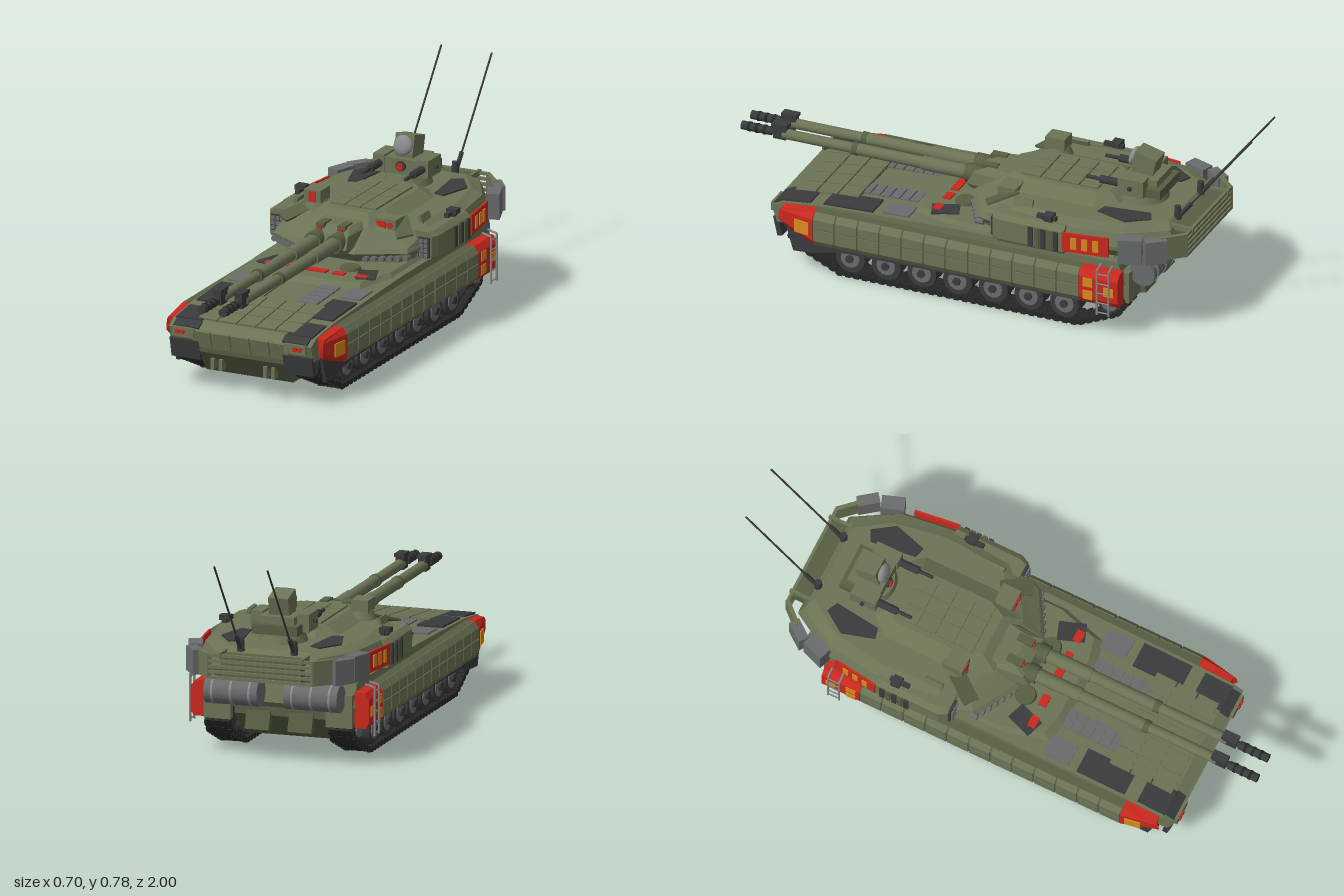
import * as THREE from 'three';
import { mergeGeometries } from 'three/addons/utils/BufferGeometryUtils.js';

export function createModel() {
  const root = new THREE.Group();
  root.name = 'tank';
  const paint = (name, color) => {
    const m = new THREE.MeshStandardMaterial({ color });
    m.name = name;
    return m;
  };
  const olive = paint('olive', 0x6b7355), shade = paint('darkOlive', 0x575e43), dark = paint('charcoal', 0x3a3b3c),
    black = paint('trackBlack', 0x272728), grey = paint('grey', 0x696b6d), light = paint('lightGrey', 0x8a8b8c),
    red = paint('red', 0xc9281e), orange = paint('orange', 0xd98a1c);

  // helpers
  const add = (name, geo, mat, x = 0, y = 0, z = 0, rx = 0, ry = 0, rz = 0) => {
    const m = new THREE.Mesh(geo, mat);
    m.name = name;
    m.position.set(x, y, z);
    m.rotation.set(rx, ry, rz);
    root.add(m);
    return m;
  };
  const box = (name, mat, w, h, d, ...p) => add(name, new THREE.BoxGeometry(w, h, d), mat, ...p);
  const cyl = (name, mat, r1, r2, h, axis, x, y, z, seg = 16) => {
    const g = new THREE.CylinderGeometry(r1, r2, h, seg);
    if (axis === 'z') g.rotateX(Math.PI / 2);
    if (axis === 'x') g.rotateZ(-Math.PI / 2);
    return add(name, g, mat, x, y, z);
  };
  const rod = (name, mat, r, a, b) => {
    const A = new THREE.Vector3(...a), B = new THREE.Vector3(...b), d = B.clone().sub(A);
    const m = add(name, new THREE.CylinderGeometry(r, r, d.length(), 6), mat);
    m.position.copy(A).add(B).multiplyScalar(0.5);
    m.quaternion.setFromUnitVectors(new THREE.Vector3(0, 1, 0), d.normalize());
  };
  const both = fn => [-1, 1].forEach(fn);
  // flat-faced solid through rings of equal point count, capped at both ends
  const loft = (name, mat, rings) => {
    const tris = [], n = rings[0].length;
    for (let i = 0; i + 1 < rings.length; i++) for (let j = 0; j < n; j++) {
      const k = (j + 1) % n, [a, b, c, d] = [rings[i][j], rings[i][k], rings[i + 1][k], rings[i + 1][j]];
      tris.push([a, b, c], [a, c, d]);
    }
    const cap = (ring, flip) => {
      const mid = [0, 1, 2].map(q => ring.reduce((s, p) => s + p[q], 0) / n);
      ring.forEach((p, j) => tris.push(flip ? [mid, ring[(j + 1) % n], p] : [mid, p, ring[(j + 1) % n]]));
    };
    cap(rings[0], true);
    cap(rings[rings.length - 1], false);
    const V = p => new THREE.Vector3(...p);
    const volume = tris.reduce((s, t) => s + V(t[0]).dot(V(t[1]).cross(V(t[2]))), 0);
    if (volume < 0) tris.forEach(t => t.reverse());
    const g = new THREE.BufferGeometry();
    g.setAttribute('position', new THREE.Float32BufferAttribute(tris.flat(2), 3));
    g.computeVertexNormals();
    return add(name, g, mat);
  };
  // symmetric plan outline from its +x half
  const plan = (y, half) => [...half.map(([x, z]) => [x, y, z]), ...[...half].reverse().map(([x, z]) => [-x, y, z])];
  // side profile of [z, y] points given thickness along x
  const side = (name, mat, pts, x0, x1) => {
    const g = new THREE.ExtrudeGeometry(new THREE.Shape(pts.map(p => new THREE.Vector2(...p))), { depth: Math.abs(x1 - x0), bevelEnabled: false });
    g.rotateY(-Math.PI / 2);
    return add(name, g, mat, Math.max(x0, x1));
  };

  // hull
  side('upperHull', olive, [[0.78, 0.228], [0.74, 0.25], [0.6, 0.266], [0.3, 0.279], [0.05, 0.287], [-0.56, 0.287], [-0.585, 0.2], [-0.56, 0.168], [0.76, 0.168]], -0.282, 0.282);
  side('lowerHull', shade, [[0.768, 0.18], [0.765, 0.145], [0.7, 0.06], [-0.48, 0.06], [-0.575, 0.15], [-0.575, 0.18]], -0.172, 0.172);
  loft('turretRingDeck', olive, [plan(0.28, [[0.13, 0.28], [0.21, 0.26], [0.262, 0.1], [0.262, -0.54]]), plan(0.3, [[0.12, 0.25], [0.2, 0.23], [0.245, 0.08], [0.245, -0.52]])]);
  cyl('turretRing', dark, 0.235, 0.235, 0.02, 'y', 0, 0.304, -0.25, 32);
  for (let i = -2; i <= 2; i++) {
    const x = i * 0.077;
    box('noseTile', olive, 0.072, 0.065, 0.012, x, 0.196, 0.772, 0.28);
    for (let j = 0; j < 3; j++) box('deckTile', olive, 0.072, 0.012, 0.078, x, 0.257 + j * 0.0085, 0.69 - j * 0.083, 0.11);
  }
  [0, 1, -1, 2, -2].forEach(i => box('deckLight', red, i ? 0.045 : 0.085, 0.009, 0.03, i * 0.09, 0.301, 0.18));
  both(s => {
    box('fenderPlate', dark, 0.1, 0.008, 0.11, s * 0.22, 0.258, 0.69, 0.11);
    box('nosePlate', dark, 0.1, 0.008, 0.036, s * 0.215, 0.241, 0.761, 0.5);
    box('deckPlate', dark, 0.095, 0.008, 0.19, s * 0.222, 0.274, 0.49, 0.05);
    box('deckGrille', grey, 0.08, 0.008, 0.1, s * 0.222, 0.28, 0.31, 0.045);
    for (let i = 0; i < 7; i++) box('engineGrille', grey, 0.075, 0.008, 0.033, s * 0.105, 0.281 - i * 0.0015, 0.29 + i * 0.038, 0.05);
    box('ringDeckPlate', dark, 0.07, 0.006, 0.1, s * 0.185, 0.301, 0.15, 0, s * 0.35);
    cyl('deckHatch', shade, 0.035, 0.04, 0.012, 'y', s * 0.1, 0.305, 0.11);
    box('mudFlap', dark, 0.115, 0.075, 0.02, s * 0.224, 0.15, 0.757, 0.22);
    box('headlightHousing', olive, 0.085, 0.034, 0.03, s * 0.222, 0.216, 0.775);
    [0.223, 0.243].forEach(x => cyl('headlight', red, 0.009, 0.009, 0.008, 'z', s * x, 0.217, 0.792, 10));
    [0.088, 0.12].forEach(x => box('towHook', olive, 0.014, 0.04, 0.03, s * x, 0.103, 0.745));
    // skirts
    const section = (z, t = 1) => [[0.28, 0.26], [0.318, 0.258], [0.335, 0.235], [0.335, 0.15], [0.322, 0.13], [0.28, 0.13]]
      .map(([x, y]) => [s * (0.28 + (x - 0.28) * t), y, z]);
    loft('skirtBacking', shade, [section(0.6, 0.92), section(-0.43, 0.92)]);
    for (let i = 0; i < 12; i++) {
      const z0 = 0.597 - i * 0.0858, z1 = z0 - 0.08;
      [[0.2, 0.258], [0.13, 0.195]].forEach(([a, b], row) => {
        const ring = z => (row ? [[0.285, a], [0.322, a], [0.335, a + 0.02], [0.335, b], [0.285, b]] : [[0.285, a], [0.335, a], [0.335, b - 0.023], [0.318, b], [0.285, b]]).map(([x, y]) => [s * x, y, z]);
        loft('skirtTile', olive, [ring(z0), ring(z1)]);
      });
    }
    const tip = [[0.28, 0.25], [0.308, 0.245], [0.31, 0.235], [0.31, 0.2], [0.3, 0.17], [0.28, 0.165]].map(([x, y]) => [s * x, y, 0.755 - Math.abs(y - 0.215) * 0.8]);
    loft('skirtNose', red, [section(0.6), tip]);
    box('noseEmblemPatch', orange, 0.005, 0.05, 0.06, s * 0.329, 0.193, 0.645, 0, -s * 0.16);
    loft('rearSkirt', red, [section(-0.43), section(-0.58)]);
    [[0.215, -0.465], [0.165, -0.465], [0.19, -0.545]].forEach(([y, z]) => box('rearSkirtPatch', orange, 0.006, 0.035, 0.038, s * 0.335, y, z));
    const rubber = [[0.72, 0.175], [0.69, 0.075], [0.63, 0.078], [0.5, 0.105], [-0.5, 0.115], [-0.55, 0.175]];
    side('rubberSkirt', dark, rubber, s * 0.284, s * 0.298);
    // ladder
    [-0.505, -0.55].forEach(z => rod('ladderRail', light, 0.004, [s * 0.346, 0.1, z], [s * 0.346, 0.275, z]));
    for (let i = 0; i < 5; i++) rod('ladderRung', light, 0.003, [s * 0.346, 0.11 + i * 0.038, -0.505], [s * 0.346, 0.11 + i * 0.038, -0.55]);
    [-0.505, -0.55].forEach(z => rod('ladderHook', light, 0.004, [s * 0.346, 0.275, z], [s * 0.31, 0.285, z]));
    // rear plate and fuel drums
    box('rearMudguard', olive, 0.1, 0.12, 0.03, s * 0.228, 0.19, -0.585);
    box('rearBox', shade, 0.09, 0.07, 0.03, s * 0.08, 0.13, -0.575, 0.3);
    cyl('fuelDrum', grey, 0.049, 0.049, 0.2, 'x', s * 0.15, 0.245, -0.638, 20);
    [0.08, 0.15, 0.22].forEach(x => cyl('drumBand', light, 0.0515, 0.0515, 0.008, 'x', s * x, 0.245, -0.638, 20));

    // running gear
    for (let i = 0; i < 7; i++) {
      const z = 0.48 - i * 0.138;
      cyl('roadWheel', dark, 0.056, 0.056, 0.075, 'x', s * 0.235, 0.076, z, 20);
      cyl('wheelDisc', grey, 0.036, 0.036, 0.005, 'x', s * 0.274, 0.076, z);
      cyl('wheelHub', dark, 0.015, 0.015, 0.02, 'x', s * 0.275, 0.076, z, 8);
      box('suspensionArm', dark, 0.03, 0.02, 0.09, s * 0.185, 0.095, z + 0.03, 0.5);
    }
    [[0.655, 0.125, 0.042], [-0.525, 0.12, 0.048]].forEach(([z, y, r]) => {
      cyl('sprocket', dark, r, r, 0.08, 'x', s * 0.235, y, z, 14);
      cyl('sprocketDisc', grey, r * 0.7, r * 0.7, 0.008, 'x', s * 0.278, y, z, 14);
    });
    // track links laid along a closed loop
    const loop = [[0.52, 0.01], [-0.4, 0.01], [-0.555, 0.077], [-0.585, 0.12], [-0.56, 0.16], [-0.51, 0.172], [0.66, 0.172], [0.7, 0.155], [0.71, 0.12], [0.69, 0.09]];
    const path = new THREE.CurvePath();
    loop.forEach((p, i) => path.add(new THREE.LineCurve3(new THREE.Vector3(0, p[1], p[0]), new THREE.Vector3(0, loop[(i + 1) % loop.length][1], loop[(i + 1) % loop.length][0]))));
    const links = [], count = 84;
    for (let i = 0; i < count; i++) {
      const p = path.getPointAt(i / count), t = path.getTangentAt(i / count);
      [[0.028, 0.013, 0.031, 0], [0.028, 0.013, 0.031, 0.033], [0.028, 0.013, 0.031, -0.033], [0.096, 0.008, 0.022, 0], [0.012, 0.02, 0.018, 0.042], [0.012, 0.02, 0.018, -0.042]].forEach(([w, h, d, x]) => {
        const g = new THREE.BoxGeometry(w, h, d);
        g.rotateX(Math.atan2(-t.y, t.z));
        links.push(g.translate(x, p.y, p.z));
      });
    }
    add('track', mergeGeometries(links), black, s * 0.232);
  });

  // turret shell
  loft('turretBody', olive, [
    plan(0.31, [[0.1, 0.05], [0.23, 0.0], [0.27, -0.1], [0.3, -0.38], [0.27, -0.56], [0.19, -0.72]]),
    plan(0.345, [[0.1, 0.085], [0.265, -0.01], [0.29, -0.1], [0.325, -0.38], [0.3, -0.57], [0.2, -0.74]]),
    plan(0.36, [[0.1, 0.07], [0.26, -0.02], [0.29, -0.11], [0.325, -0.38], [0.3, -0.57], [0.2, -0.74]]),
    plan(0.405, [[0.1, 0.0], [0.2, -0.06], [0.285, -0.14], [0.305, -0.38], [0.28, -0.57], [0.19, -0.72]]),
    plan(0.422, [[0.09, -0.03], [0.17, -0.09], [0.25, -0.16], [0.265, -0.38], [0.23, -0.58], [0.15, -0.7]])]);
  loft('turretRoof', olive, [plan(0.415, [[0.11, -0.01], [0.18, -0.12], [0.18, -0.42], [0.11, -0.5]]), plan(0.452, [[0.08, -0.07], [0.11, -0.13], [0.11, -0.4], [0.08, -0.44]])]);
  for (let i = -1; i <= 1; i++) for (let j = 0; j < 4; j++) box('roofTile', olive, 0.058, 0.01, 0.068, i * 0.062, 0.454, -0.14 - j * 0.074);

  // mantlet and twin guns
  loft('mantlet', olive, [plan(0.345, [[0.075, 0.1], [0.09, -0.03]]), plan(0.365, [[0.085, 0.115], [0.1, -0.03]]), plan(0.41, [[0.08, 0.09], [0.095, -0.06]]), plan(0.432, [[0.06, 0.04], [0.08, -0.08]])]);
  both(s => {
    const x = s * 0.042, y = 0.386;
    [[0.034, 0.05, 0.13, shade], [0.026, 0.12, 0.3, olive], [0.022, 0.3, 0.56, olive], [0.024, 0.55, 0.57, shade], [0.019, 0.57, 0.84, olive], [0.012, 0.84, 0.9, dark], [0.016, 0.885, 1.0, dark]]
      .forEach(([r, a, b, m]) => cyl('gunBarrel', m, r, r, b - a, 'z', x, y, (a + b) / 2));
    box('muzzleSensor', dark, 0.03, 0.055, 0.05, x, 0.395, 0.85);
    box('muzzleSensorCap', dark, 0.036, 0.012, 0.06, x, 0.42, 0.85);
    [0.91, 0.94, 0.97].forEach(z => cyl('muzzleRing', black, 0.018, 0.018, 0.01, 'z', x, y, z, 10));
    box('gunSight', shade, 0.03, 0.03, 0.06, x, 0.423, 0.04);
    cyl('gunSightLens', red, 0.008, 0.008, 0.006, 'z', x, 0.422, 0.073, 10);

    // front smoke tubes and cheek launchers
    for (let i = 0; i < 6; i++) cyl('smokeTube', grey, 0.011, 0.011, 0.03, 'z', s * (0.135 + i * 0.025), 0.327, 0.055 - i * 0.014, 8);
    const pod = (y, w) => [[0.25, -0.09], [0.32, -0.09], [0.335, -0.12], [0.335, -0.37], [0.25, -0.37]].map(([px, z]) => [s * (0.25 + (px - 0.25) * w), y, z]);
    loft('sidePod', olive, [pod(0.305, 0.94), pod(0.315, 1), pod(0.392, 1), pod(0.408, 0.75)]);
    box('launcherFace', dark, 0.058, 0.075, 0.012, s * 0.284, 0.35, -0.088);
    for (let i = 0; i < 3; i++) for (let j = 0; j < 4; j++) box('launcherCell', grey, 0.014, 0.013, 0.008, s * (0.266 + i * 0.018), 0.322 + j * 0.018, -0.08);
    for (let i = 0; i < 5; i++) box('podRib', i % 2 ? shade : dark, 0.012, 0.075, 0.018, s * 0.336, 0.352, -0.245 - i * 0.024);
    box('podFin', olive, 0.012, 0.05, 0.07, s * 0.25, 0.42, -0.18, 0, 0, s * 0.35);
    box('cheekPanel', shade, 0.06, 0.008, 0.12, s * 0.21, 0.415, -0.08, 0.35, s * 0.6);
    box('sideSightBase', dark, 0.02, 0.03, 0.03, s * 0.3, 0.41, -0.3);
    box('sideSight', dark, 0.04, 0.018, 0.035, s * 0.3, 0.427, -0.3);
    box('sideSightTube', dark, 0.016, 0.016, 0.075, s * 0.295, 0.42, -0.29);
    // side flags and rear roof plates
    box('turretSidePanel', red, 0.008, 0.075, 0.17, s * 0.325, 0.358, -0.452, 0, s * 0.13);
    [-0.41, -0.45, -0.49].forEach(z => box('turretPanelPatch', orange, 0.006, 0.045, 0.022, s * (0.33 + (z + 0.45) * 0.13), 0.358, z, 0, s * 0.13));
    loft('roofPlate', dark, [0.42, 0.427].map(y => [[0.15, -0.45], [0.19, -0.44], [0.225, -0.56], [0.17, -0.64], [0.13, -0.62]].map(([px, z]) => [s * px, y, z])));
    // bustle frame and storage boxes
    box('cornerBox', grey, 0.05, 0.095, 0.085, s * 0.302, 0.362, -0.615, 0, s * 0.35);
    box('rearCornerBox', grey, 0.04, 0.09, 0.08, s * 0.275, 0.362, -0.7, 0, s * 0.65);
    box('bustleArm', olive, 0.015, 0.09, 0.1, s * 0.225, 0.365, -0.75, 0, s * 0.75);
    box('bustleRail', olive, 0.012, 0.02, 0.1, s * 0.155, 0.405, -0.745);
    // whip antennas
    cyl('antennaBase', dark, 0.012, 0.015, 0.05, 'y', s * 0.1, 0.435, -0.71, 8);
    rod('antennaSpring', dark, 0.008, [s * 0.1, 0.42, -0.715], [s * 0.1, 0.48, -0.762]);
    rod('antenna', dark, 0.0035, [s * 0.1, 0.47, -0.755], [s * 0.1, 0.78, -0.997]);
  });
  box('bustleBox', shade, 0.3, 0.085, 0.09, 0, 0.362, -0.735);
  for (let i = 0; i < 5; i++) box('bustleSlat', olive, 0.4, 0.011, 0.012, 0, 0.325 + i * 0.02, -0.784);

  // commander's sight on the right
  cyl('sightRing', olive, 0.036, 0.055, 0.045, 'y', -0.157, 0.43, -0.14, 20);
  box('sightHead', olive, 0.064, 0.045, 0.075, -0.157, 0.472, -0.135);
  box('sightWindow', red, 0.026, 0.038, 0.006, -0.157, 0.47, -0.096);
  // gunner's sight on the left
  box('gunnerSight', olive, 0.08, 0.042, 0.07, 0.155, 0.423, -0.09);
  box('gunnerWindow', red, 0.036, 0.024, 0.006, 0.14, 0.424, -0.053);
  cyl('gunnerLens', red, 0.011, 0.011, 0.008, 'z', 0.173, 0.424, -0.053, 12);

  // remote weapon station
  cyl('stationBase', olive, 0.075, 0.09, 0.045, 'y', 0, 0.44, -0.54, 20);
  box('stationBody', olive, 0.13, 0.06, 0.13, 0, 0.49, -0.55);
  box('stationRear', shade, 0.17, 0.035, 0.07, 0, 0.475, -0.6);
  box('stationNeck', olive, 0.07, 0.06, 0.07, 0, 0.53, -0.54);
  box('radarHead', olive, 0.075, 0.07, 0.085, 0, 0.56, -0.55, -0.25);
  add('radarDish', new THREE.SphereGeometry(0.037, 20, 12).scale(1, 1, 0.45), light, 0, 0.567, -0.5, -0.25);
  cyl('stationLensRim', dark, 0.019, 0.019, 0.012, 'z', 0, 0.494, -0.482);
  cyl('stationLens', red, 0.013, 0.013, 0.008, 'z', 0, 0.494, -0.473, 12);
  both(s => {
    box('gunCradle', olive, 0.045, 0.065, 0.1, s * 0.087, 0.495, -0.53);
    cyl('stationGun', dark, 0.014, 0.014, 0.09, 'z', s * 0.085, 0.495, -0.45, 10);
    cyl('stationGunBarrel', dark, 0.007, 0.007, 0.12, 'z', s * 0.085, 0.495, -0.41, 8);
    box('gunPivot', dark, 0.02, 0.012, 0.012, s * 0.112, 0.495, -0.53);
  });
  return root;
}
